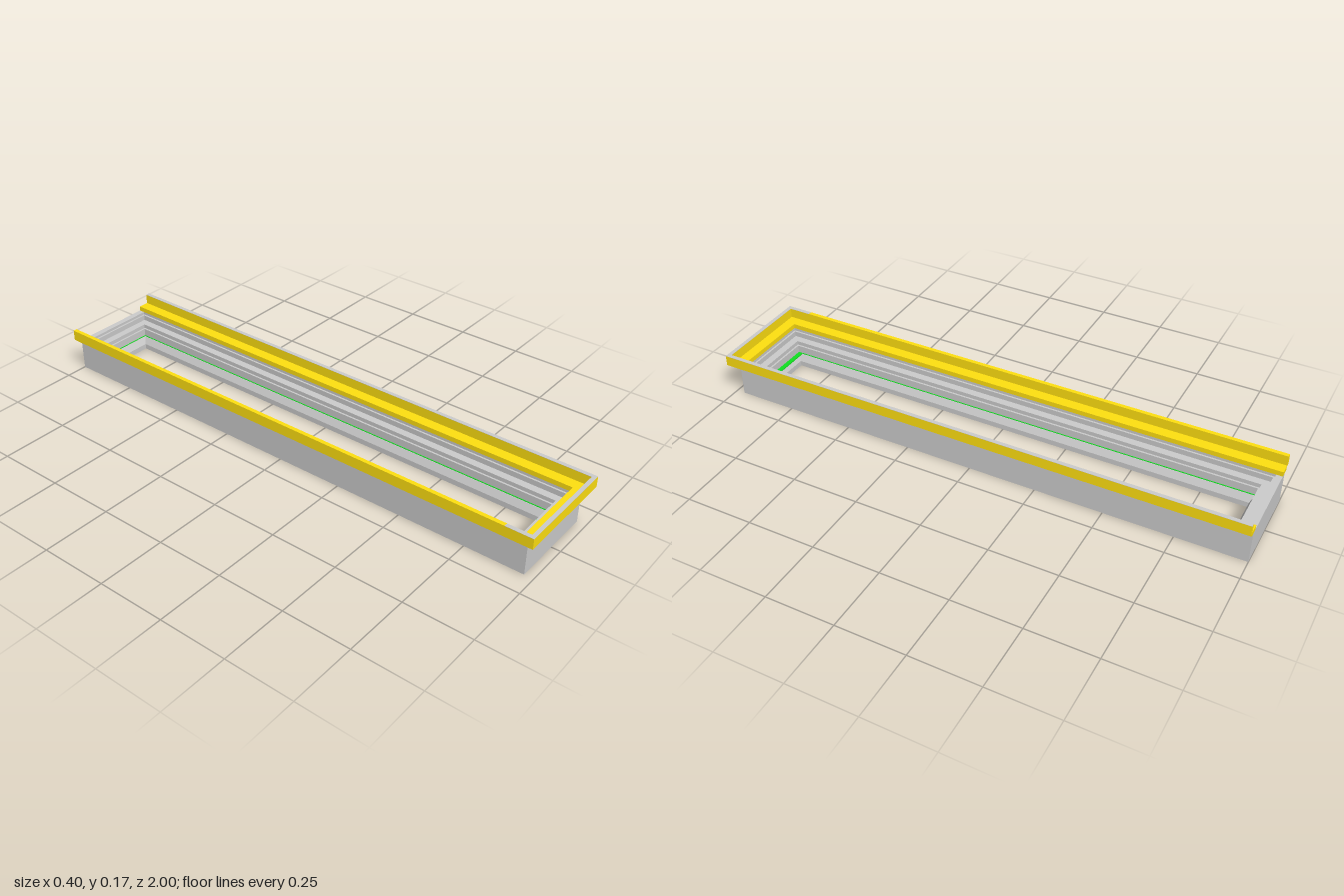
import * as THREE from 'three';

const FRONT = 0.8;   // front z = FRONT + profile offset
const BACK = 0.833;  // back z = -(BACK + profile offset)

const material = (color) => new THREE.MeshStandardMaterial({ color, flatShading: true });

// Sweep a counter-clockwise profile of [half width, y] round the mitred rectangle.
// closed: a full ring; otherwise a U open at the back, ending at zStart (+x) and zEnd (-x).
function sweep(profile, closed, zStart = -1, zEnd = -1) {
  const rings = [
    ([o, y]) => [o, y, closed ? -(BACK + o) : zStart],
    ([o, y]) => [o, y, FRONT + o],
    ([o, y]) => [-o, y, FRONT + o],
    ([o, y]) => [-o, y, closed ? -(BACK + o) : zEnd],
  ].map((corner) => profile.map(corner));
  const pos = [];
  const tri = (a, b, c) => pos.push(...a, ...b, ...c);
  const n = profile.length;
  for (let s = 0; s < (closed ? 4 : 3); s++) {
    const p = rings[s], q = rings[(s + 1) % 4];
    for (let i = 0; i < n; i++) {
      const j = (i + 1) % n;
      tri(p[i], p[j], q[j]);
      tri(p[i], q[j], q[i]);
    }
  }
  if (!closed) {
    const outline = profile.map(([o, y]) => new THREE.Vector2(o, y));
    for (const [a, b, c] of THREE.ShapeUtils.triangulateShape(outline, [])) {
      tri(rings[0][a], rings[0][c], rings[0][b]);
      tri(rings[3][a], rings[3][b], rings[3][c]);
    }
  }
  const geometry = new THREE.BufferGeometry();
  geometry.setAttribute('position', new THREE.Float32BufferAttribute(pos, 3));
  geometry.computeVertexNormals();
  return geometry;
}

export function createModel() {
  const model = new THREE.Group();
  const grey = material(0xcccccc);
  const yellow = material(0xffe010);
  const green = material(0x10e020);

  const add = (name, geometry, mat) => {
    const mesh = new THREE.Mesh(geometry, mat);
    mesh.name = name;
    model.add(mesh);
    return mesh;
  };

  // Hollow box frame with a stepped inner wall and a sloped bottom lip
  add('frame', sweep([
    [0.085, 0], [0.167, 0], [0.167, 0.12],
    [0.145, 0.12], [0.145, 0.11], [0.138, 0.11], [0.138, 0.09],
    [0.11, 0.09], [0.11, 0.075], [0.103, 0.075], [0.103, 0.045],
    [0.098, 0.045], [0.085, 0.02],
  ], true), grey);

  // L-shaped trim on the two long sides and the front
  add('trim', sweep([
    [0.145, 0.12], [0.183, 0.12], [0.183, 0.135], [0.2, 0.135],
    [0.2, 0.174], [0.185, 0.174], [0.185, 0.138], [0.145, 0.138],
  ], false), yellow);

  // Grey top edge of the trim, and the plain remainder of it
  const edge = [[0.185, 0.174], [0.2, 0.174], [0.2, 0.175], [0.185, 0.175]];
  add('trimTopEdge', sweep(edge, false, -1, 0.9), grey);
  const rest = add('trimTopEdgeRight', new THREE.BoxGeometry(0.015, 0.001, 1.9), yellow);
  rest.position.set(-0.1925, 0.1745, -0.05);

  // Green seal: a thin bead round the lip and a wider strip at the front
  add('seal', sweep([
    [0.1, 0.044], [0.103, 0.044], [0.103, 0.047], [0.1, 0.047],
  ], true), green);
  const strip = add('frontSeal', new THREE.BoxGeometry(0.2, 0.004, 0.014), green);
  strip.position.set(0, 0.045, 0.893);

  return model;
}
